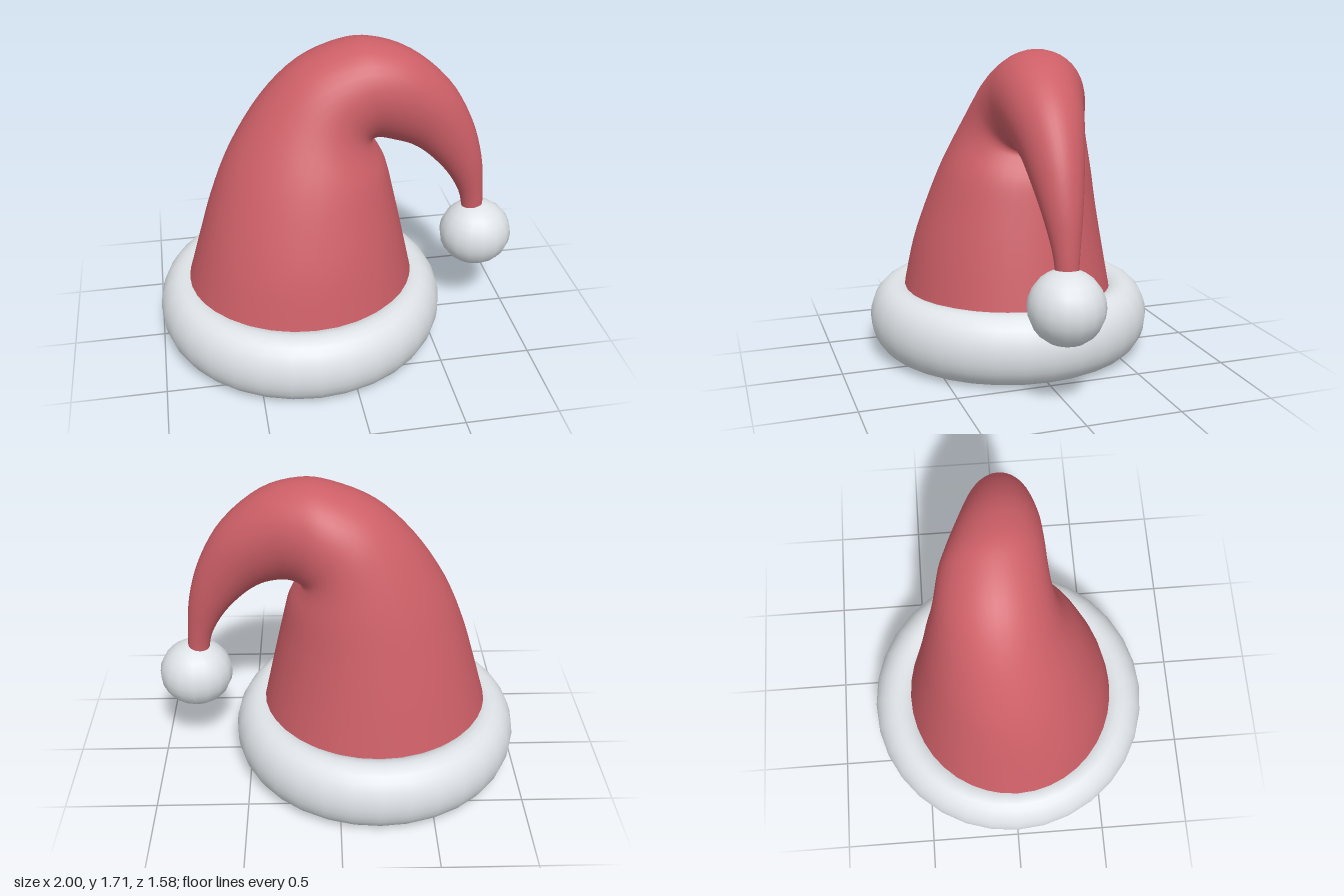
import * as THREE from 'three';

const V = (x, y, z = 0) => new THREE.Vector3(x, y, z);

// Each section of the cap: outer edge x, y, inner edge x, y, half width in z, z offset, inner fullness
const SECTIONS = [
  [-0.84, 0.34, 0.42, 0.34, 0.585, 0.012, 0],
  [-0.76, 0.62, 0.36, 0.62, 0.53, 0.01, 0],
  [-0.68, 0.88, 0.308, 0.86, 0.465, -0.005, 0.03],
  [-0.575, 1.13, 0.268, 1.03, 0.405, -0.025, 0.06],
  [-0.40, 1.40, 0.22, 1.12, 0.34, -0.05, 0.06],
  [-0.20, 1.59, 0.20, 1.153, 0.3, -0.06, 0],
  [0.03, 1.69, 0.21, 1.16, 0.272, -0.055, -0.06],
  [0.20, 1.705, 0.24, 1.162, 0.245, -0.035, -0.1],
  [0.40, 1.64, 0.30, 1.152, 0.21, -0.01, -0.1],
  [0.60, 1.47, 0.40, 1.12, 0.17, 0.005, -0.06],
  [0.73, 1.25, 0.50, 1.05, 0.135, 0.015, 0],
  [0.80, 1.02, 0.61, 0.93, 0.10, 0.02, 0],
  [0.825, 0.80, 0.69, 0.79, 0.068, 0.02, 0],
  [0.83, 0.66, 0.72, 0.65, 0.055, 0.02, 0],
];

// Smooth skin lofted through the sections
function capGeometry(rows, sides) {
  const spline = (f) => new THREE.CatmullRomCurve3(SECTIONS.map(f), false, 'catmullrom', 0.5);
  const outer = spline((s) => V(s[0], s[1]));
  const inner = spline((s) => V(s[2], s[3]));
  const width = spline((s) => V(s[4], s[5], s[6]));
  const pos = [], index = [];
  for (let i = 0; i <= rows; i++) {
    const o = outer.getPoint(i / rows), n = inner.getPoint(i / rows), w = width.getPoint(i / rows);
    for (let j = 0; j < sides; j++) {
      const a = (j / sides) * Math.PI * 2, c = Math.cos(a);
      const p = o.clone().lerp(n, 0.5 + 0.5 * c);
      pos.push(p.x, p.y, w.y + w.x * (1 + w.z * c) * Math.sin(a));
      if (i < rows) {
        const k = i * sides + j, l = i * sides + ((j + 1) % sides);
        index.push(k, k + sides, l, l, k + sides, l + sides);
      }
    }
  }
  const g = new THREE.BufferGeometry();
  g.setAttribute('position', new THREE.Float32BufferAttribute(pos, 3));
  g.setIndex(index);
  g.computeVertexNormals();
  return g;
}

export function createModel() {
  const group = new THREE.Group();
  group.name = 'floppyHat';
  const material = (name, color) => {
    const m = new THREE.MeshStandardMaterial({ color });
    m.name = name;
    return m;
  };
  const red = material('red felt', 0xcd5f67);
  const white = material('white fur', 0xe3e8ec);
  const lining = material('lining', 0xcec0a2);
  const add = (name, geometry, mat, x, y, z) => {
    const m = new THREE.Mesh(geometry, mat);
    m.name = name;
    m.position.set(x, y, z);
    group.add(m);
    return m;
  };

  // Bent cap
  add('cap', capGeometry(52, 40), red, 0, 0, 0);

  // Fur brim: an upright oval turned around the head, its seam hidden under the cap
  const oval = [];
  for (let i = 0; i <= 24; i++) {
    const a = (i / 24 + 0.375) * Math.PI * 2;
    oval.push(new THREE.Vector2(0.645 + 0.145 * Math.cos(a), 0.1925 * Math.sin(a)));
  }
  add('brim', new THREE.LatheGeometry(oval, 32), white, -0.21, 0.1925, 0);

  // Lining closing the head opening
  add('lining', new THREE.CircleGeometry(0.515, 32).rotateX(Math.PI / 2), lining, -0.21, 0.15, 0);

  // Pompom on the tip
  const pompom = add('pompom', new THREE.SphereGeometry(1, 16, 12), white, 0.797, 0.528, 0.03);
  pompom.scale.set(0.203, 0.19, 0.193);
  return group;
}
